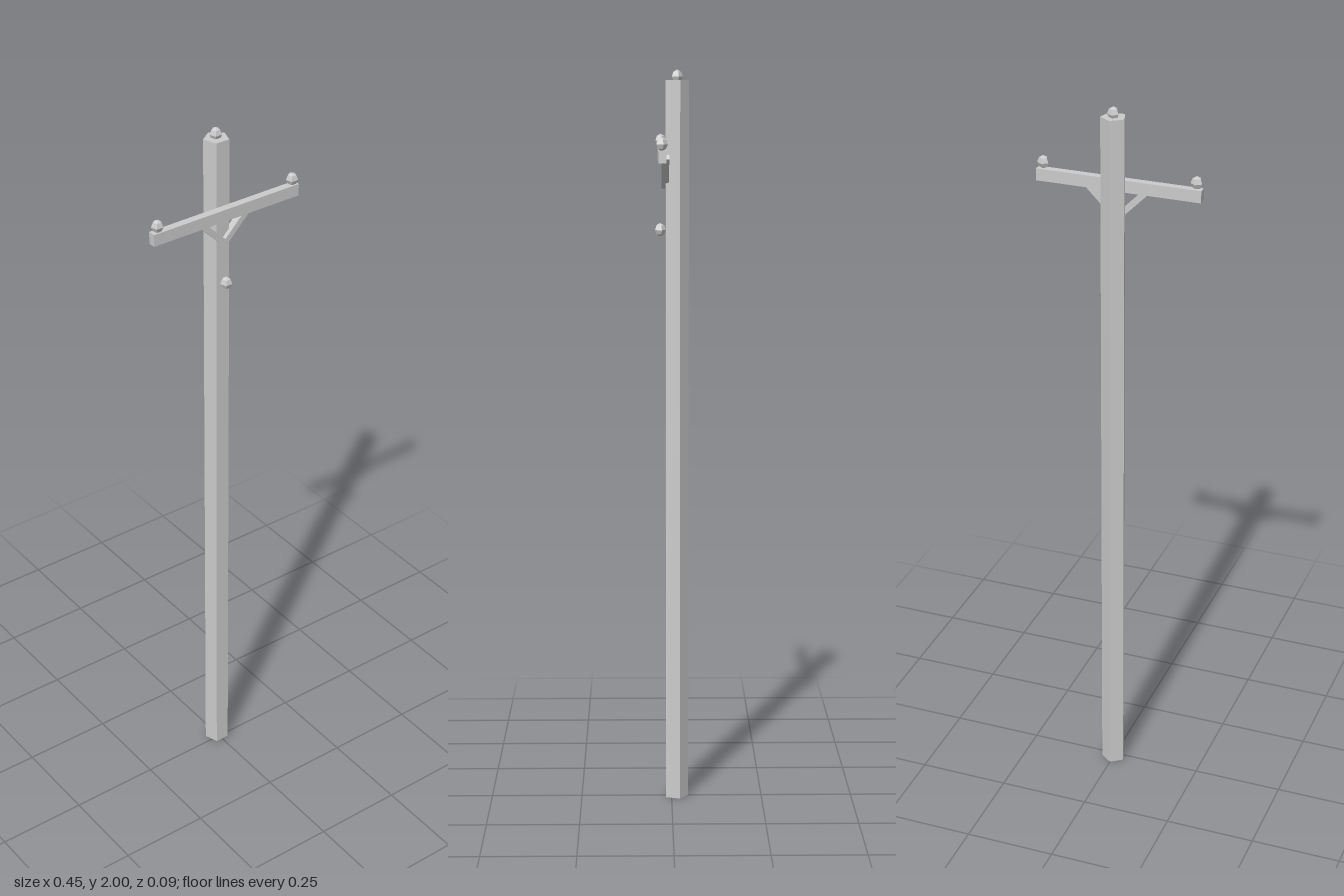
import * as THREE from 'three';

export function createModel() {
  const group = new THREE.Group();
  const material = new THREE.MeshStandardMaterial({ color: 0xcccccc, flatShading: true });

  function add(name, geometry, x, y, z) {
    const mesh = new THREE.Mesh(geometry, material);
    mesh.name = name;
    mesh.position.set(x, y, z);
    group.add(mesh);
    return mesh;
  }

  // Five-sided pole with a flat side to the front
  const height = 1.972;
  add('pole', new THREE.CylinderGeometry(0.0343, 0.0343, height, 5).rotateY(Math.PI), 0, height / 2, -0.012);

  // Crossarm fixed to the front of the pole
  add('crossarm', new THREE.BoxGeometry(0.452, 0.033, 0.021), 0, 1.776, 0.0265);

  // Diagonal braces meeting in a V under the crossarm
  const reach = 0.08;
  for (const side of [-1, 1]) {
    const brace = add(side > 0 ? 'leftBrace' : 'rightBrace',
      new THREE.BoxGeometry(reach * Math.SQRT2, 0.016, 0.02),
      side * reach / 2, 1.731, 0.017);
    brace.rotation.z = side * Math.PI / 4;
  }

  // Five-sided insulators: pole top, both arm ends and pole front
  const profile = [[0, -0.018], [0.011, -0.013], [0.0165, -0.001], [0.0115, 0.012], [0, 0.018]]
    .map(([r, y]) => new THREE.Vector2(r, y));
  const insulator = new THREE.LatheGeometry(profile, 5).rotateY(Math.PI);
  add('topInsulator', insulator, 0, 1.982, -0.014);
  add('leftInsulator', insulator, 0.21, 1.809, 0.0285);
  add('rightInsulator', insulator, -0.21, 1.809, 0.0285);
  add('lowerInsulator', insulator, 0, 1.576, 0.031);

  return group;
}
